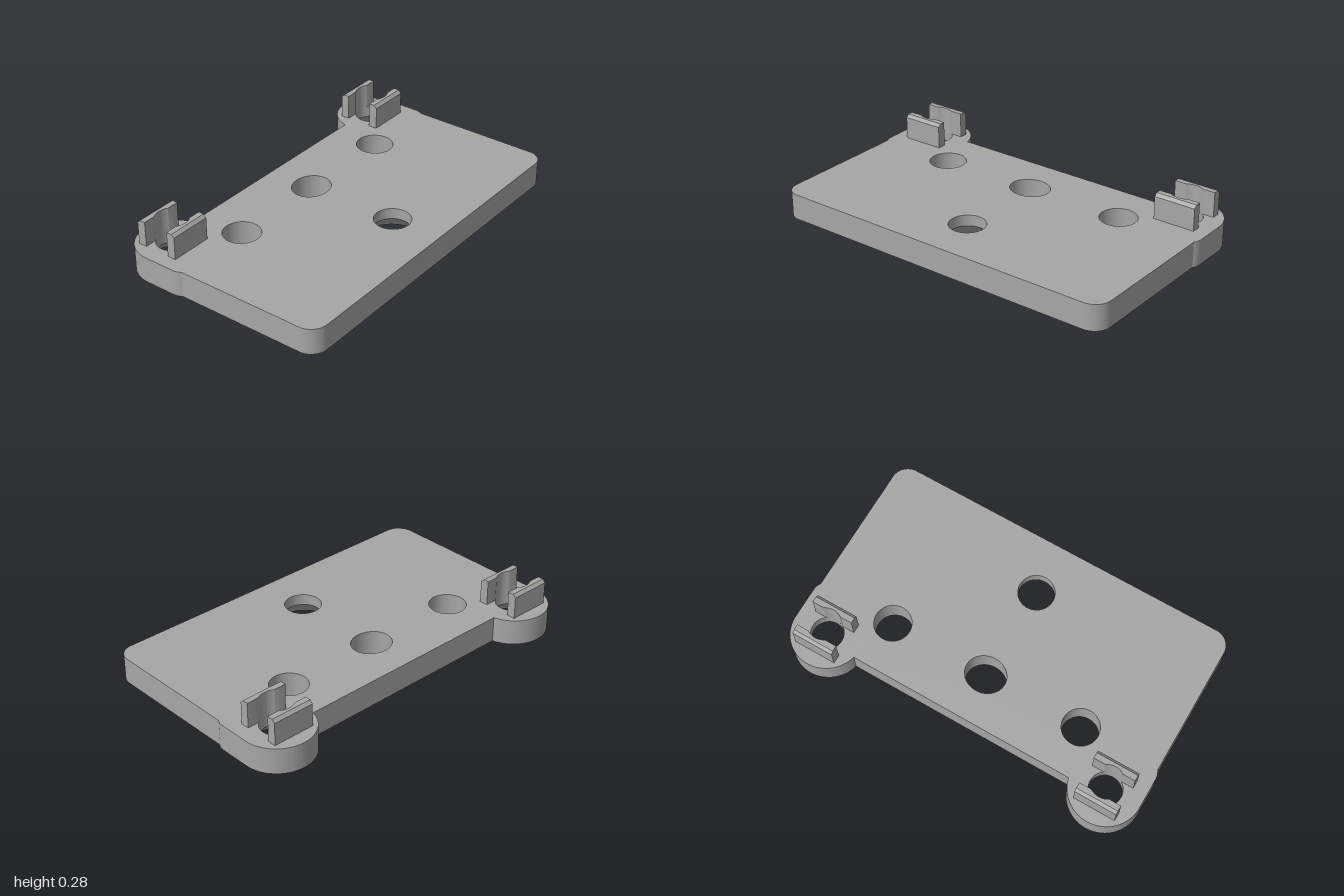
import * as THREE from 'three';
import { toCreasedNormals } from 'three/addons/utils/BufferGeometryUtils.js';

const T = 0.14;            // plate thickness
const SINK = 0.08;         // countersink depth
const EAR = { x: -0.413, y: 0.81, r: 0.19, hole: 0.086 };

// Holes: centre, x and z radius at the top, mouth radius underneath if countersunk
const HOLES = [
  { x: EAR.x, y: EAR.y, rx: EAR.hole, ry: EAR.hole, mouth: 0.168 },
  { x: EAR.x, y: -EAR.y, rx: EAR.hole, ry: EAR.hole, mouth: 0.168 },
  { x: 0.317, y: 0, rx: 0.096, ry: 0.096, mouth: 0.168 },
  { x: -0.198, y: 0.55, rx: 0.098, ry: 0.098 },
  { x: -0.198, y: -0.55, rx: 0.098, ry: 0.098 },
  { x: -0.198, y: 0, rx: 0.098, ry: 0.11 },
];

// Clockwise ring of points, so hole walls face inward
function ring(x, y, rx, ry, n = 64) {
  return Array.from({ length: n }, (_, i) => {
    const a = (-i / n) * Math.PI * 2;
    return new THREE.Vector2(x + rx * Math.cos(a), y + ry * Math.sin(a));
  });
}

// Wall through matching closed loops, each at its own height
function wall(loops) {
  const pos = [], index = [], n = loops[0].points.length;
  for (const { points, h } of loops) for (const p of points) pos.push(p.x, h, -p.y);
  for (let k = 0; k < loops.length - 1; k++) {
    for (let i = 0; i < n; i++) {
      const a = k * n + i, b = k * n + (i + 1) % n;
      index.push(a, b, b + n, a, b + n, a + n);
    }
  }
  const g = new THREE.BufferGeometry();
  g.setAttribute('position', new THREE.Float32BufferAttribute(pos, 3));
  g.setIndex(index);
  return toCreasedNormals(g, 0.5);
}

// Plate outline with two round ears on the -x side
function outlinePoints() {
  const s = new THREE.Shape(), { x, y, r } = EAR;
  const edgeX = -0.455, edgeY = 0.986, c = 0.09, right = 0.6;
  const a = Math.acos((edgeX - x) / r);
  s.moveTo(edgeX, -y + r * Math.sin(a));
  s.absarc(x, -y, r, a, Math.PI * 1.5, false);
  s.lineTo(-0.25, -y - r);
  s.quadraticCurveTo(-0.22, -y - r, -0.2, -edgeY);
  s.lineTo(right - c, -edgeY);
  s.absarc(right - c, -edgeY + c, c, -Math.PI / 2, 0, false);
  s.absarc(right - c, edgeY - c, c, 0, Math.PI / 2, false);
  s.lineTo(-0.2, edgeY);
  s.quadraticCurveTo(-0.22, y + r, -0.25, y + r);
  s.lineTo(x, y + r);
  s.absarc(x, y, r, Math.PI / 2, Math.PI * 2 - a, false);
  const pts = s.getPoints(32);
  return pts.filter((p, i) => i === 0 || p.distanceTo(pts[i - 1]) > 1e-5);
}

function cap(points, holes) {
  const s = new THREE.Shape(points);
  s.holes = holes.map((h) => new THREE.Path(h));
  return new THREE.ShapeGeometry(s);
}

// Upright jaw, scooped by the hole on its inside, chamfered on its outer top edge
function jawGeometry() {
  const inner = 0.071, outer = 0.118, half = 0.115, height = 0.137, chamfer = 0.016;
  const a = Math.acos(inner / EAR.hole);
  const s = new THREE.Shape();
  s.moveTo(inner, -half);
  s.lineTo(outer, -half);
  s.lineTo(outer, half);
  s.lineTo(inner, half);
  s.absarc(0, 0, EAR.hole, a, -a, true);
  s.closePath();
  const g = new THREE.ExtrudeGeometry(s, { depth: height, steps: 2, bevelEnabled: false, curveSegments: 16 });
  const p = g.attributes.position;
  for (let i = 0; i < p.count; i++) {
    const z = p.getZ(i);
    if (z > height * 0.75) {
      if (p.getX(i) > outer - 1e-4) p.setX(i, outer - chamfer);
    } else if (z > height * 0.25) p.setZ(i, height - chamfer);
  }
  g.rotateX(-Math.PI / 2);
  return toCreasedNormals(g, 0.5);
}

export function createModel() {
  const model = new THREE.Group();
  model.name = 'mountingPlate';
  const grey = new THREE.MeshStandardMaterial({ color: 0xa6a6a6 });
  grey.name = 'grey';
  const add = (parent, name, geometry) => {
    const m = new THREE.Mesh(geometry, grey);
    m.name = name;
    parent.add(m);
    return m;
  };

  // Plate faces and rim
  const plate = new THREE.Group();
  plate.name = 'plate';
  model.add(plate);
  const outline = outlinePoints();
  const tops = HOLES.map((h) => ring(h.x, h.y, h.rx, h.ry));
  const bottoms = HOLES.map((h, i) => (h.mouth ? ring(h.x, h.y, h.mouth, h.mouth) : tops[i]));
  add(plate, 'plateTop', cap(outline, tops).rotateX(-Math.PI / 2).translate(0, T, 0));
  add(plate, 'plateBottom', cap(outline, bottoms).rotateX(Math.PI / 2));
  add(plate, 'plateRim', wall([{ points: outline, h: 0 }, { points: outline, h: T }]));

  // Hole walls, some flared underneath
  HOLES.forEach((h, i) => {
    const loops = [{ points: bottoms[i], h: 0 }, { points: tops[i], h: T }];
    if (h.mouth) loops.splice(1, 0, { points: tops[i], h: SINK });
    add(plate, h.mouth ? 'countersunkHole' : 'plainHole', wall(loops));
  });

  // A pair of jaws over each ear hole
  const jaw = jawGeometry();
  for (const side of [1, -1]) {
    const clip = new THREE.Group();
    clip.name = side > 0 ? 'frontClip' : 'backClip';
    clip.position.set(EAR.x, T, side * EAR.y);
    add(clip, 'leftJaw', jaw);
    add(clip, 'rightJaw', jaw).rotation.y = Math.PI;
    model.add(clip);
  }
  return model;
}
